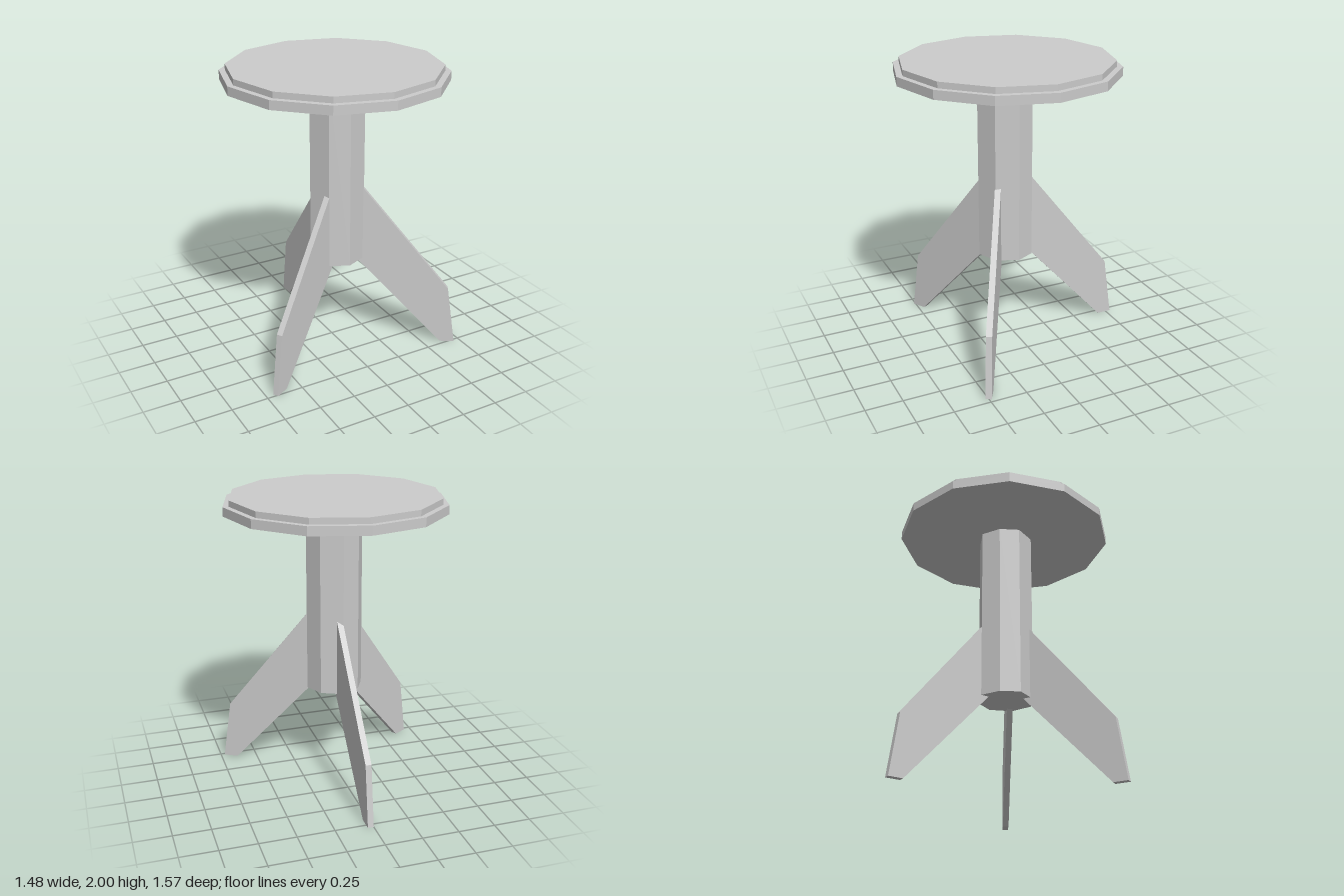
import * as THREE from 'three';

const material = new THREE.MeshStandardMaterial({ color: 0xcccccc, flatShading: true });
const CENTER_Z = 0.04;

function addPart(parent, name, geometry, x, y, z) {
  const mesh = new THREE.Mesh(geometry, material);
  mesh.name = name;
  mesh.position.set(x, y, z);
  parent.add(mesh);
  return mesh;
}

function extrude(points, depth) {
  const shape = new THREE.Shape(points.map(([x, y]) => new THREE.Vector2(x, y)));
  return new THREE.ExtrudeGeometry(shape, { depth, bevelEnabled: false });
}

export function createModel() {
  const table = new THREE.Group();
  table.name = 'pedestalTable';

  // Two stacked twelve-sided discs
  addPart(table, 'topRim', new THREE.CylinderGeometry(0.74, 0.74, 0.06, 12), 0, 1.93, CENTER_Z);
  addPart(table, 'topSurface', new THREE.CylinderGeometry(0.70, 0.70, 0.04, 12), 0, 1.98, CENTER_Z);

  // Slightly uneven eight-sided column
  const column = extrude([
    [0.2, 0], [0.14, 0.122], [0, 0.188], [-0.124, 0.122],
    [-0.188, 0], [-0.124, -0.143], [0, -0.205], [0.14, -0.143],
  ], 1.24);
  column.rotateX(-Math.PI / 2);
  addPart(table, 'column', column, 0, 0.66, 0.045);

  // Three flat bent legs; the profile runs inward from the foot tip
  const leg = extrude([
    [0, 0], [-0.06, 0.42], [-0.74, 1.28], [-0.74, 0.67], [-0.70, 0.66], [-0.10, 0],
  ], 0.04);
  leg.translate(0, 0, -0.02);
  const feet = [
    ['backLeg', 0.02, -0.785, 90],
    ['leftLeg', 0.714, 0.502, -30],
    ['rightLeg', -0.69, 0.493, -150],
  ];
  for (const [name, x, z, degrees] of feet) {
    addPart(table, name, leg, x, 0, z).rotation.y = THREE.MathUtils.degToRad(degrees);
  }

  return table;
}
